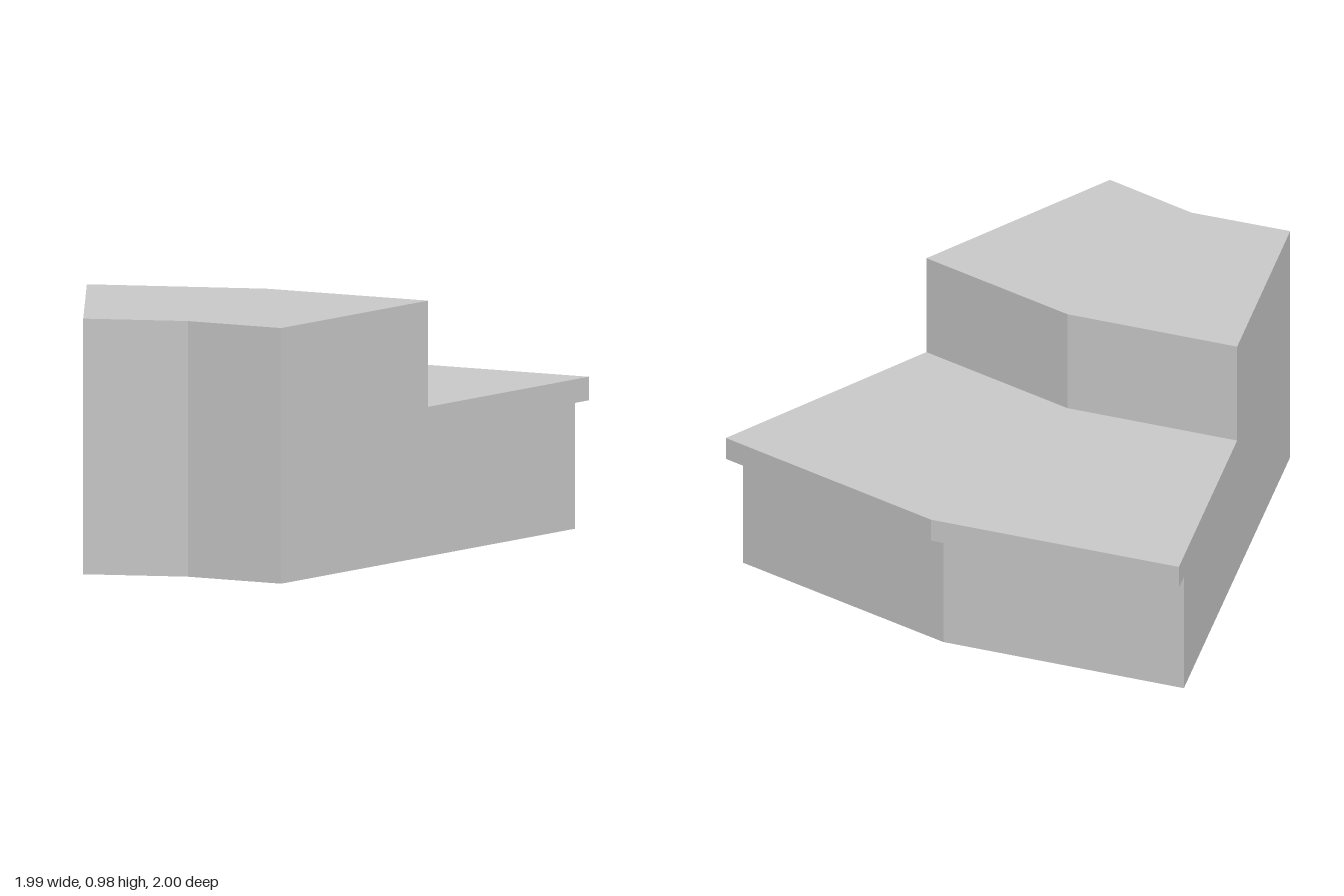
import * as THREE from 'three';

// Plan lines of the bent block: x and z at the outer ends, z at the centre fold
const front = { x: 0.395, z: 1.0, mid: 0.935 };
const riser = { x: 0.681, z: 0.12, mid: 0.013 };
const wall = { x: 0.966, z: -0.76, mid: -0.91 };
const nosing = { x: 0.993, z: -0.843, mid: -1.0 };

// Side profile: tall step, low step and overhanging lip at the back
const profile = [
  [front, 0.975], [front, 0], [wall, 0], [wall, 0.48],
  [nosing, 0.48], [nosing, 0.57], [riser, 0.57], [riser, 0.975],
];

function stepGeometry() {
  const n = profile.length;
  const positions = [];
  const point = (side, i) => {
    const [line, y] = profile[i % n];
    return [side * line.x, y, side === 0 ? line.mid : line.z];
  };
  const triangle = (a, b, c) => positions.push(...a, ...b, ...c);

  // Faces swept from each end to the centre fold
  for (const side of [-1, 0]) {
    for (let i = 0; i < n; i++) {
      const a = point(side, i), b = point(side, i + 1);
      const c = point(side + 1, i + 1), d = point(side + 1, i);
      triangle(a, b, c);
      triangle(a, c, d);
    }
  }

  // Flat ends
  const contour = profile.map(([line, y]) => new THREE.Vector2(-line.z, y));
  for (const [a, b, c] of THREE.ShapeUtils.triangulateShape(contour, [])) {
    triangle(point(1, a), point(1, b), point(1, c));
    triangle(point(-1, a), point(-1, c), point(-1, b));
  }

  const geometry = new THREE.BufferGeometry();
  geometry.setAttribute('position', new THREE.Float32BufferAttribute(positions, 3));
  geometry.computeVertexNormals();
  return geometry;
}

export function createModel() {
  const group = new THREE.Group();
  group.name = 'curvedStep';
  const material = new THREE.MeshStandardMaterial({ color: 0xcccccc, flatShading: true });
  const block = new THREE.Mesh(stepGeometry(), material);
  block.name = 'stepBlock';
  group.add(block);
  return group;
}
